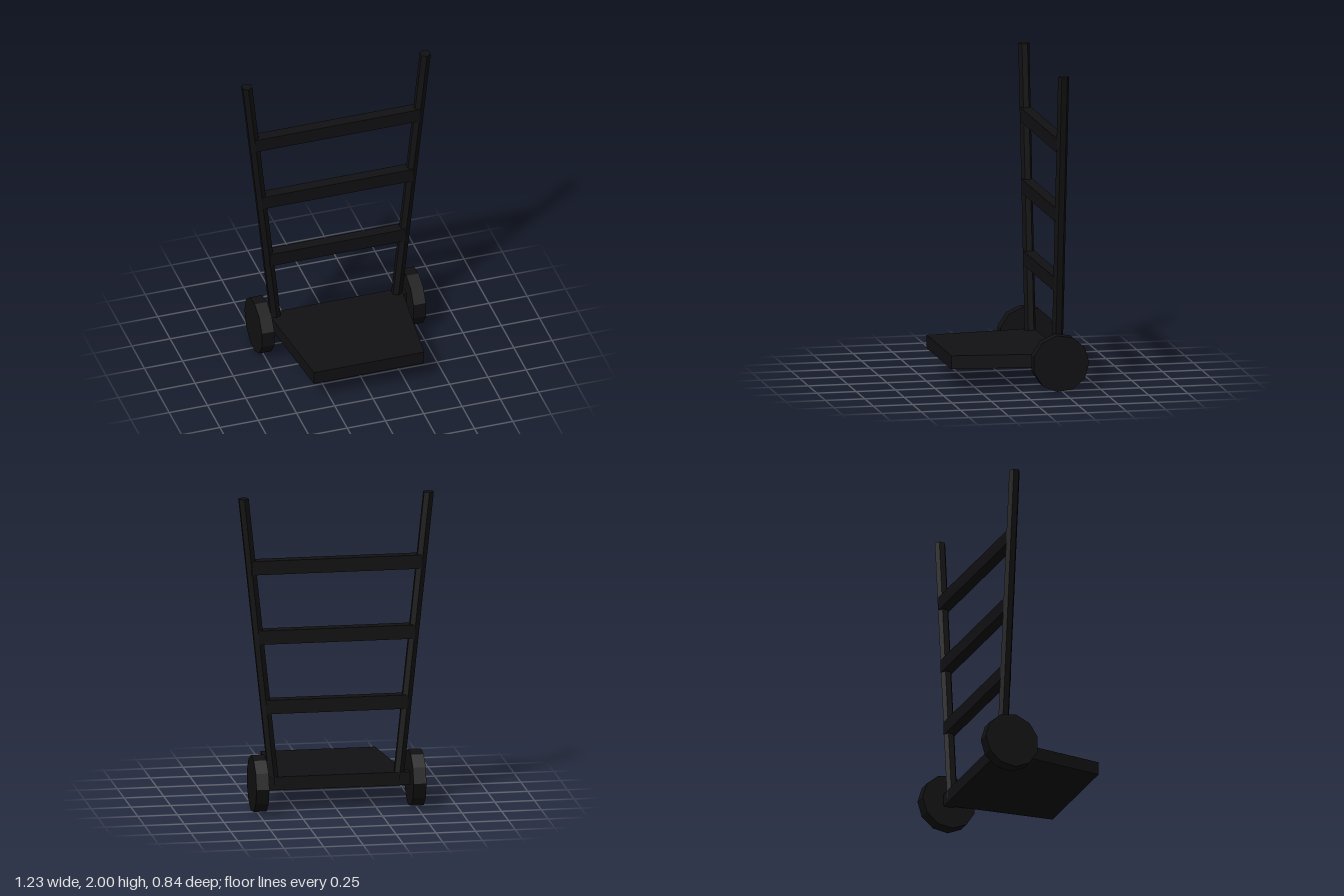
import * as THREE from 'three';

const BACK_Z = -0.245;            // plane of the upright frame
const railX = (y) => 0.374 + 0.1044 * y; // rail centre line, leaning outwards

export function createModel() {
  const group = new THREE.Group();
  group.name = 'handTruck';
  const material = new THREE.MeshStandardMaterial({ color: 0x111113, flatShading: true });

  const add = (name, geometry, x = 0, y = 0, z = 0) => {
    const mesh = new THREE.Mesh(geometry, material);
    mesh.name = name;
    mesh.position.set(x, y, z);
    group.add(mesh);
    return mesh;
  };

  // Six-sided side rails, sheared outwards so the ends stay level
  const railBottom = 0.17, railTop = 2;
  for (const side of [1, -1]) {
    const rail = new THREE.CylinderGeometry(0.035, 0.035, railTop - railBottom, 6);
    rail.translate(0, (railTop + railBottom) / 2, 0);
    const p = rail.attributes.position;
    for (let i = 0; i < p.count; i++) p.setX(i, p.getX(i) + side * railX(p.getY(i)));
    rail.computeVertexNormals();
    add(side > 0 ? 'leftRail' : 'rightRail', rail, 0, 0, BACK_Z);
  }

  // Cross bars between the rails
  [0.67, 1.115, 1.56].forEach((y, i) => {
    add('crossBar' + (i + 1), new THREE.BoxGeometry(2 * railX(y), 0.088, 0.07), 0, y, BACK_Z);
  });

  // Tapered load plate
  const outline = new THREE.Shape([
    new THREE.Vector2(-0.36, -0.42),
    new THREE.Vector2(0.36, -0.42),
    new THREE.Vector2(0.436, 0.278),
    new THREE.Vector2(-0.436, 0.278),
  ]);
  const plate = new THREE.ExtrudeGeometry(outline, { depth: 0.084, bevelEnabled: false });
  plate.rotateX(-Math.PI / 2);
  add('loadPlate', plate, 0, 0.139, 0);

  // Axle bar reaching the wheels
  add('axle', new THREE.BoxGeometry(0.93, 0.082, 0.066), -0.005, 0.181, BACK_Z);

  // Eleven-sided wheels with a corner pointing backwards
  for (const side of [1, -1]) {
    const wheel = new THREE.CylinderGeometry(0.179, 0.179, 0.081, 11);
    wheel.rotateY(Math.PI);
    wheel.rotateZ(Math.PI / 2);
    add(side > 0 ? 'leftWheel' : 'rightWheel', wheel, side * 0.495 - 0.005, 0.1775, -0.241);
  }

  return group;
}
